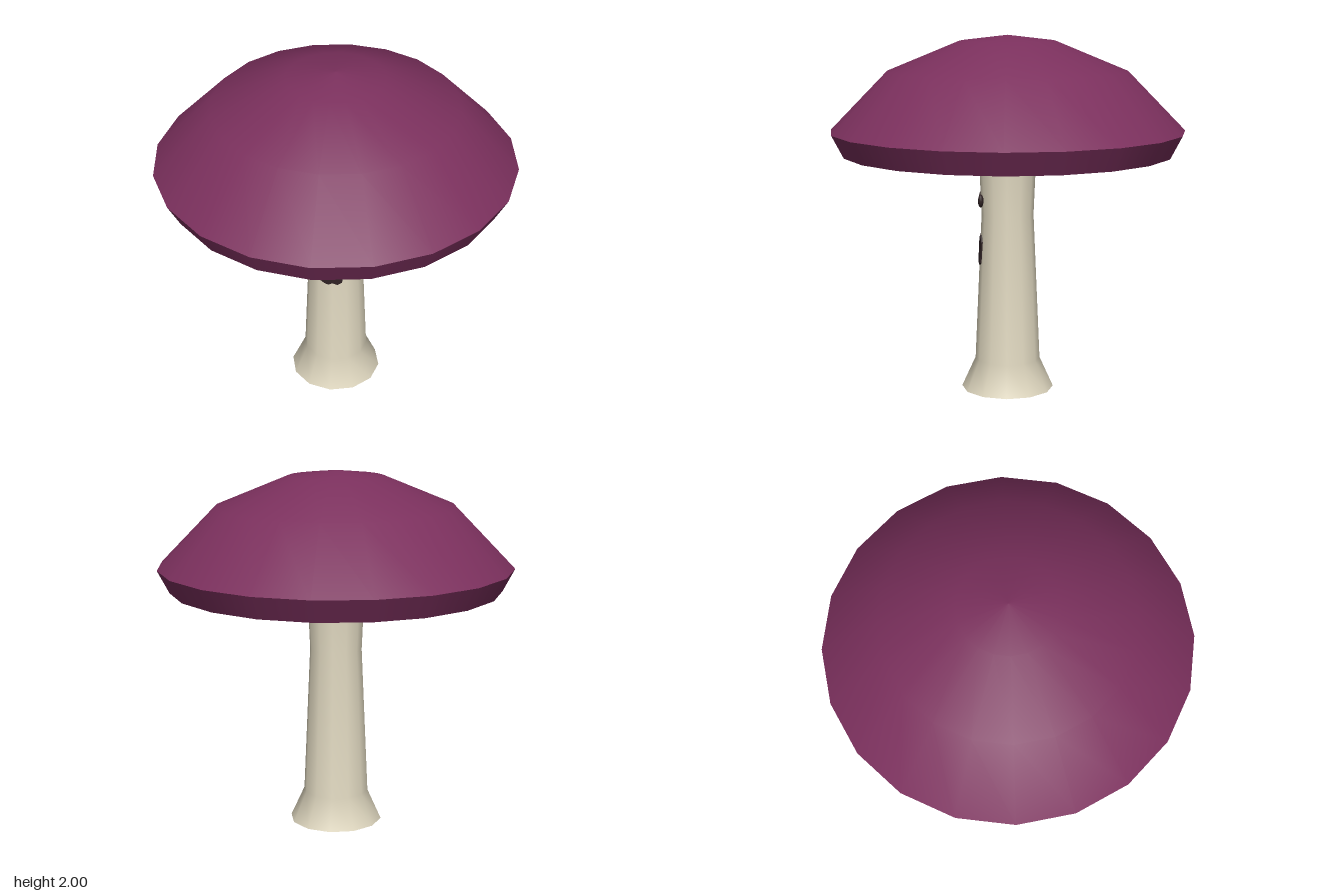
import * as THREE from 'three';

const mat = (name, color) => {
  const m = new THREE.MeshStandardMaterial({ color });
  m.name = name;
  return m;
};

export function createModel() {
  const plum = mat('plum', 0x7b305d);
  const cream = mat('cream', 0xe0d8c0);
  const dark = mat('darkBrown', 0x2f2224);

  const model = new THREE.Group();
  model.name = 'mushroom';
  const add = (name, geometry, material, parent = model) => {
    const mesh = new THREE.Mesh(geometry, material);
    mesh.name = name;
    parent.add(mesh);
    return mesh;
  };
  const lathe = (profile, sides) =>
    new THREE.LatheGeometry(profile.map(([r, y]) => new THREE.Vector2(r, y)), sides);

  // Cap: separate lathes keep the rim edges crisp
  const cap = new THREE.Group();
  cap.name = 'cap';
  model.add(cap);
  add('capTop', lathe([[0.985, 1.475], [0.665, 1.803], [0.265, 1.968], [0, 2]], 20), plum, cap);
  add('capRim', lathe([[0.92, 1.35], [0.985, 1.475]], 20), plum, cap);
  add('capUnderside', lathe([[0, 1.314], [0.92, 1.35]], 20), plum, cap);

  // Gills: thin ribs following the shallow slope of the underside
  const gills = new THREE.Group();
  gills.name = 'gills';
  model.add(gills);
  for (let i = 0; i < 10; i++) {
    const spoke = new THREE.Group();
    spoke.rotation.y = (i * Math.PI) / 5;
    gills.add(spoke);
    const rib = add('gill', new THREE.BoxGeometry(0.49, 0.014, 0.009), cream, spoke);
    rib.position.set(0.355, 1.327, 0);
    rib.rotation.z = Math.atan2(0.036, 0.92);
  }

  // Stem with flared foot
  add('stem', lathe([[0.26, 0], [0.183, 0.17], [0.146, 1.0], [0.16, 1.325]], 12), cream);
  const base = add('stemBase', new THREE.CircleGeometry(0.26, 12), cream);
  base.rotation.x = Math.PI / 2;

  // Eyes and a small spot, as flattened beads on the stem
  const bead = (name, material, position, size) => {
    const mesh = add(name, new THREE.SphereGeometry(1, 10, 8), material);
    mesh.position.set(...position);
    mesh.scale.set(...size);
  };
  for (const [name, side] of [['leftEye', 1], ['rightEye', -1]]) {
    bead(name, dark, [side * 0.065, 1.085, 0.148], [0.025, 0.037, 0.016]);
  }
  bead('spot', plum, [0.07, 1.282, 0.141], [0.036, 0.015, 0.019]);

  // Mouth: notched plate folded around the front edge of the stem
  const outline = [
    [0, 0.868], [-0.03, 0.885], [-0.055, 0.855], [-0.06, 0.79], [-0.068, 0.735],
    [-0.04, 0.718], [-0.02, 0.716], [0, 0.73], [0.03, 0.716], [0.055, 0.73],
    [0.06, 0.79], [0.068, 0.85], [0.03, 0.885],
  ];
  const mouth = new THREE.Group();
  mouth.name = 'mouth';
  model.add(mouth);
  for (const side of [-1, 1]) {
    const half = outline.filter(([x]) => x * side >= 0).map(([x, y]) => new THREE.Vector2(x, y));
    const plate = new THREE.ExtrudeGeometry(new THREE.Shape(half), { depth: 0.009, bevelEnabled: false });
    const p = plate.attributes.position;
    for (let i = 0; i < p.count; i++) {
      const slope = 0.0445 * (0.8 - p.getY(i));
      p.setZ(i, p.getZ(i) + 0.153 + slope - Math.abs(p.getX(i)) * 0.2);
    }
    plate.computeVertexNormals();
    add('mouthHalf', plate, dark, mouth);
  }

  return model;
}
